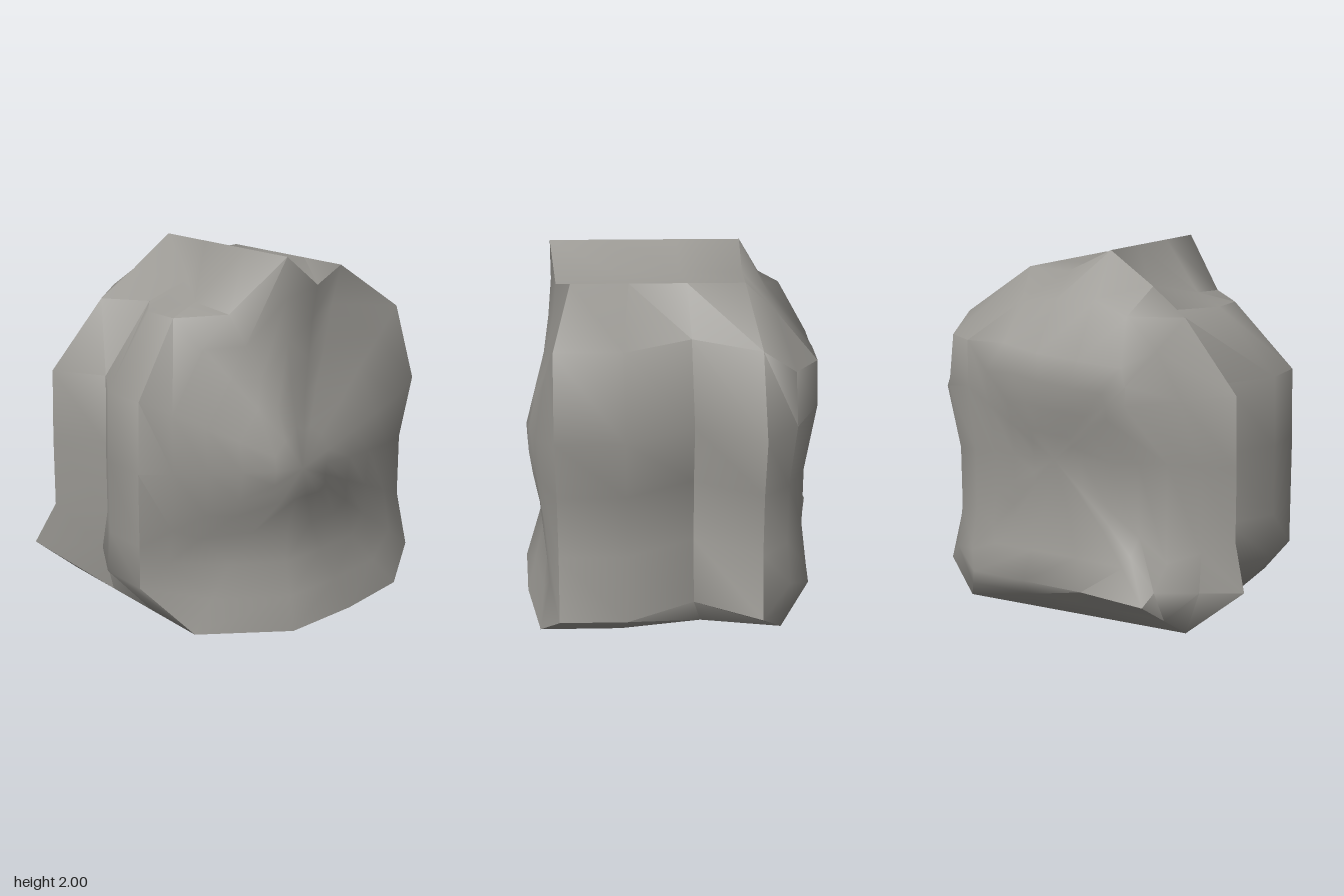
import * as THREE from 'three';
import { toCreasedNormals } from 'three/addons/utils/BufferGeometryUtils.js';

// Outline of the rock, counter-clockwise from the bottom left: x, y, front z, rear z
const OUTLINE = [
  [-0.63, 0, 0.58, -0.6], [-0.18, 0, 0.87, -0.6], [0.27, 0, 0.83, -0.6], [0.72, 0, 0.73, -0.6],
  [0.93, 0.16, 0.61, -0.48], [0.84, 0.5, 0.61, -0.48], [0.84, 0.85, 0.61, -0.48], [0.93, 1.19, 0.61, -0.48],
  [0.78, 1.63, 0.61, -0.46], [0.42, 1.89, 0.53, -0.39], [0.17, 1.82, 0.62, -0.39], [-0.08, 2, 0.66, -0.39],
  [-0.33, 1.7, 0.49, -0.39], [-0.53, 1.67, 0.27, -0.42], [-0.84, 1.29, 0.39, -0.46], [-0.85, 0.9, 0.39, -0.46],
  [-0.85, 0.5, 0.39, -0.46], [-0.85, 0.26, 0.39, -0.55],
];

// Edge of the back face, one point for each outline point
const BACK = [
  [-0.5, 0.21, -0.87], [-0.1, 0.21, -0.8], [0.27, 0.21, -0.78], [0.6, 0.21, -0.76],
  [0.62, 0.33, -0.74], [0.6, 0.57, -0.71], [0.6, 0.9, -0.71], [0.6, 1.27, -0.77],
  [0.6, 1.52, -0.76], [0.38, 1.52, -0.76], [0.17, 1.48, -0.77], [-0.08, 1.46, -0.78],
  [-0.33, 1.44, -0.77], [-0.36, 1.35, -0.78], [-0.36, 1.25, -0.79], [-0.57, 0.95, -0.71],
  [-0.57, 0.41, -0.71], [-0.54, 0.28, -0.81],
];

// Corners of the shoulder that stand clear of the midway line, by outline index
const SHOULDER = {
  4: [0.78, 0.3, -0.64], 8: [0.78, 1.52, -0.63], 9: [0.38, 1.72, -0.56],
  10: [0.17, 1.74, -0.55], 11: [-0.06, 1.75, -0.54], 12: [-0.3, 1.69, -0.64],
};

// Height of the left part of the crown from front to rear
const CROWN = [1.7, 1.72, 1.79, 1.82];

const isRight = (i) => i >= 4 && i <= 8;

// How far the flanks are pinched in, by outline index
function pinch(i) {
  if (isRight(i)) return -0.21;
  if (i === 3) return -0.08;
  return i >= 12 ? 0.17 : 0;
}

const lerp = THREE.MathUtils.lerp;

// Piecewise linear curve through [position, value] pairs
function curve(points, p) {
  for (let i = 1; i < points.length; i++) {
    const [a, va] = points[i - 1], [b, vb] = points[i];
    if (p <= b) return lerp(va, vb, Math.max(0, (p - a) / (b - a)));
  }
  return points[points.length - 1][1];
}

// Depth of the front and back faces
const frontZ = (x, y) =>
  curve([[-0.9, 0.39], [-0.63, 0.58], [-0.18, 0.87], [0.27, 0.83], [0.72, 0.73], [0.93, 0.61]], x) +
  curve([[0, 0], [0.45, -0.13], [0.9, -0.03], [1.3, -0.14], [1.7, -0.2]], y);
const backZ = (x, y) =>
  curve([[0.21, -0.79], [0.57, -0.71], [0.9, -0.71], [1.29, -0.79], [1.52, -0.76]], y);

// One ring of a face: its border shrunk by s, following the depth rule and easing into the border
const faceRing = (border, cx, cy, depth, s) =>
  border.map(([bx, by, bz]) => {
    const x = lerp(cx, bx, s), y = lerp(cy, by, s);
    return [x, y, depth(x, y) + s * s * (bz - depth(bx, by))];
  });

function rockGeometry() {
  const rings = [];

  // Front face: rings growing from its middle
  for (const s of [0, 0.2, 0.4, 0.6, 0.8]) rings.push(faceRing(OUTLINE, -0.1, 0.9, frontZ, s));

  // Flanks, top and base: the outline carried from front to rear
  for (let k = 0; k < 4; k++) {
    rings.push(OUTLINE.map(([px, py, zf, zb], i) => {
      let x = px, y = py;
      if (k === 2) x += pinch(i);
      if (k > 0 && i === 10) y = 1.88;
      if (i === 12) y = CROWN[k];
      if (k === 3 && i === 17) x = -0.94;
      return [x, y, lerp(zf, zb, k / 3)];
    }));
  }

  // Rounded shoulder between the flanks and the back, fuller on the right
  const rear = rings[rings.length - 1];
  rings.push(BACK.map(([x, y, z], i) => {
    const bulge = isRight(i) ? 0.04 : 0;
    return SHOULDER[i] ??
      [(x + rear[i][0]) / 2 + bulge, (y + rear[i][1]) / 2, (z + rear[i][2]) / 2 - bulge / 2];
  }));

  // Back face: rings closing to its middle
  for (const s of [1, 0.75, 0.5, 0.25, 0]) rings.push(faceRing(BACK, 0.1, 0.9, backZ, s));

  const n = OUTLINE.length, positions = [];
  const triangle = (...corners) => {
    const [a, b, c] = corners.map((p) => new THREE.Vector3(...p));
    if (new THREE.Triangle(a, b, c).getArea() > 1e-6) positions.push(...corners.flat());
  };
  for (let r = 0; r + 1 < rings.length; r++) {
    for (let i = 0; i < n; i++) {
      const j = (i + 1) % n, f = rings[r], b = rings[r + 1];
      triangle(f[i], b[i], f[j]);
      triangle(f[j], b[i], b[j]);
    }
  }
  const geometry = new THREE.BufferGeometry();
  geometry.setAttribute('position', new THREE.Float32BufferAttribute(positions, 3));
  return toCreasedNormals(geometry, 0.95);
}

export function createModel() {
  const stone = new THREE.MeshStandardMaterial({ color: 0x9a9893 });
  stone.name = 'grey stone';

  const rock = new THREE.Mesh(rockGeometry(), stone);
  rock.name = 'rock';

  const model = new THREE.Group();
  model.name = 'boulder';
  model.add(rock);
  return model;
}
